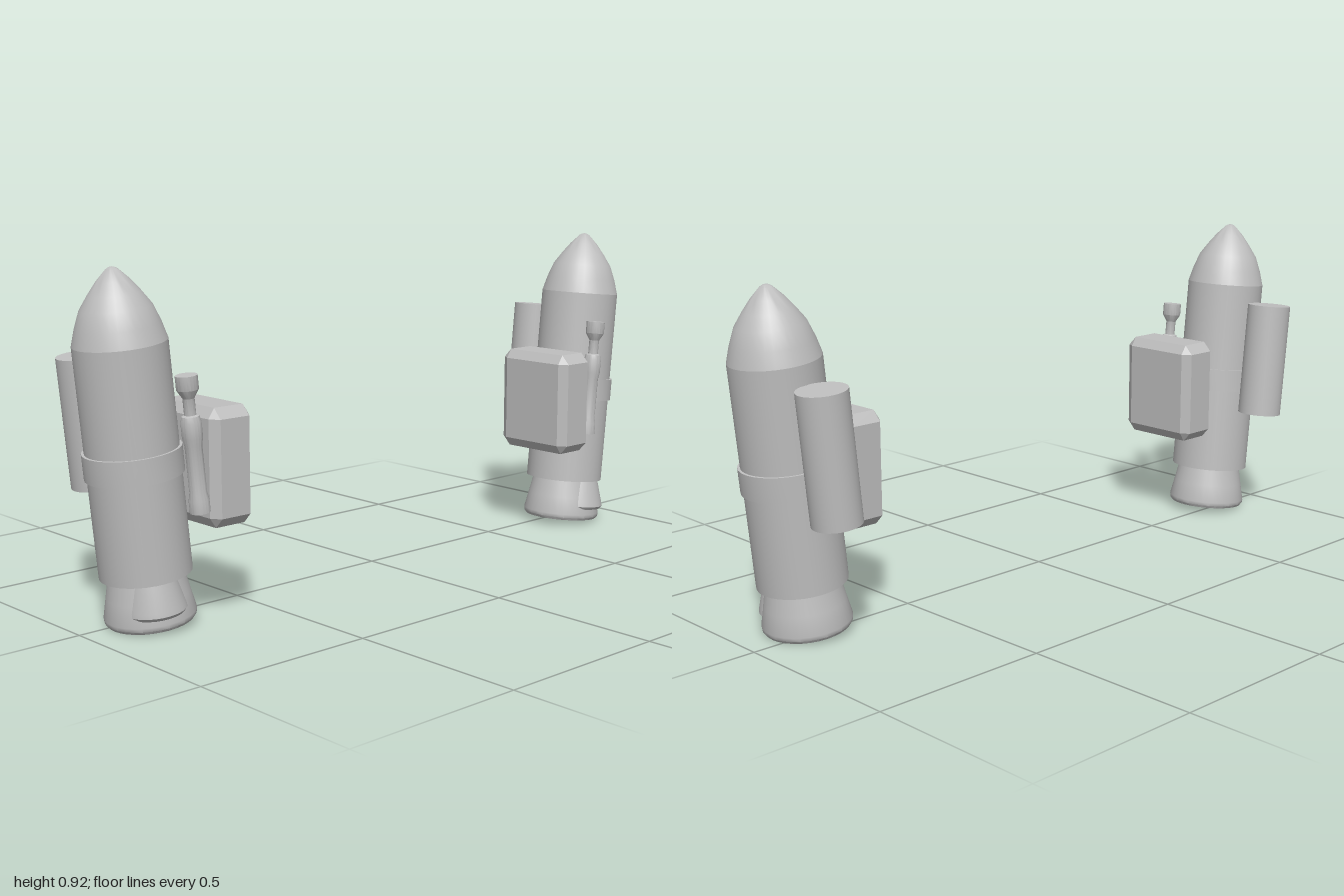
import * as THREE from 'three';
import { toCreasedNormals } from 'three/addons/utils/BufferGeometryUtils.js';
import { ConvexGeometry } from 'three/addons/geometries/ConvexGeometry.js';

const TILT = 0.1;

// Turned part from [radius, height] pairs, listed bottom to top
function turned(profile, segments = 32) {
  const points = profile.map(([r, y]) => new THREE.Vector2(r, y));
  return toCreasedNormals(new THREE.LatheGeometry(points, segments), 0.55);
}

// Box with every edge chamfered by cx, cy, cz
function chamferBox(w, h, d, cx, cy, cz) {
  const points = [];
  for (const i of [-1, 1]) for (const j of [-1, 1]) for (const k of [-1, 1]) {
    const x = w / 2, y = h / 2, z = d / 2;
    points.push(
      new THREE.Vector3(i * x, j * (y - cy), k * (z - cz)),
      new THREE.Vector3(i * (x - cx), j * y, k * (z - cz)),
      new THREE.Vector3(i * (x - cx), j * (y - cy), k * z));
  }
  return new ConvexGeometry(points);
}

export function createModel() {
  const model = new THREE.Group();
  model.name = 'boosterPair';
  const grey = new THREE.MeshStandardMaterial({ color: 0xbfbfbf });
  grey.name = 'grey';

  function add(parent, name, geometry, x = 0, y = 0, z = 0) {
    const mesh = new THREE.Mesh(geometry, grey);
    mesh.name = name;
    mesh.position.set(x, y, z);
    parent.add(mesh);
    return mesh;
  }

  // Main rocket parts
  const body = turned([[0, 0.125], [0.119, 0.125], [0.119, 0.722], [0, 0.722]]);
  const nose = turned([[0.119, 0.722], [0.107, 0.765], [0.09, 0.81], [0.066, 0.845],
    [0.042, 0.876], [0.016, 0.903], [0.008, 0.908], [0, 0.91]]);
  const band = turned([[0.11, 0.385], [0.126, 0.385], [0.126, 0.452], [0.11, 0.452]]);
  const nozzle = turned([[0, 0], [0.112, 0], [0.118, 0.008], [0.119, 0.018],
    [0.108, 0.07], [0.096, 0.13], [0, 0.13]]);
  const fairing = turned([[0, 0.035], [0.075, 0.035], [0.082, 0.044], [0.08, 0.055],
    [0.06, 0.13], [0, 0.13]]);
  // Side equipment
  const tank = turned([[0, 0.325], [0.066, 0.325], [0.066, 0.67], [0, 0.67]]);
  const thruster = turned([[0, 0.288], [0.026, 0.288], [0.026, 0.32], [0.022, 0.34],
    [0.022, 0.46], [0.026, 0.48], [0.026, 0.52], [0.022, 0.535], [0.015, 0.538],
    [0.015, 0.58], [0.028, 0.602], [0.028, 0.638], [0, 0.638]], 20);
  const pack = chamferBox(0.126, 0.306, 0.26, 0.018, 0.027, 0.026);

  for (const s of [1, -1]) {
    const side = s > 0 ? 'left' : 'right';
    const booster = new THREE.Group();
    booster.name = side + 'Booster';
    booster.position.set(s * 0.807, 0.015, 0.035);
    booster.rotation.z = -s * TILT;
    model.add(booster);

    add(booster, 'body', body);
    add(booster, 'noseCone', nose);
    add(booster, 'band', band);
    add(booster, 'nozzle', nozzle);
    add(booster, 'nozzleFairing', fairing, s * 0.015, 0, 0.048);
    add(booster, 'rearTank', tank, 0, 0, -0.182);
    add(booster, 'thruster', thruster, -s * 0.085, 0, 0.143);

    // Upright equipment pack on the inner side
    add(model, side + 'Pack', pack, s * 0.664, 0.416, 0.082);
  }
  return model;
}
